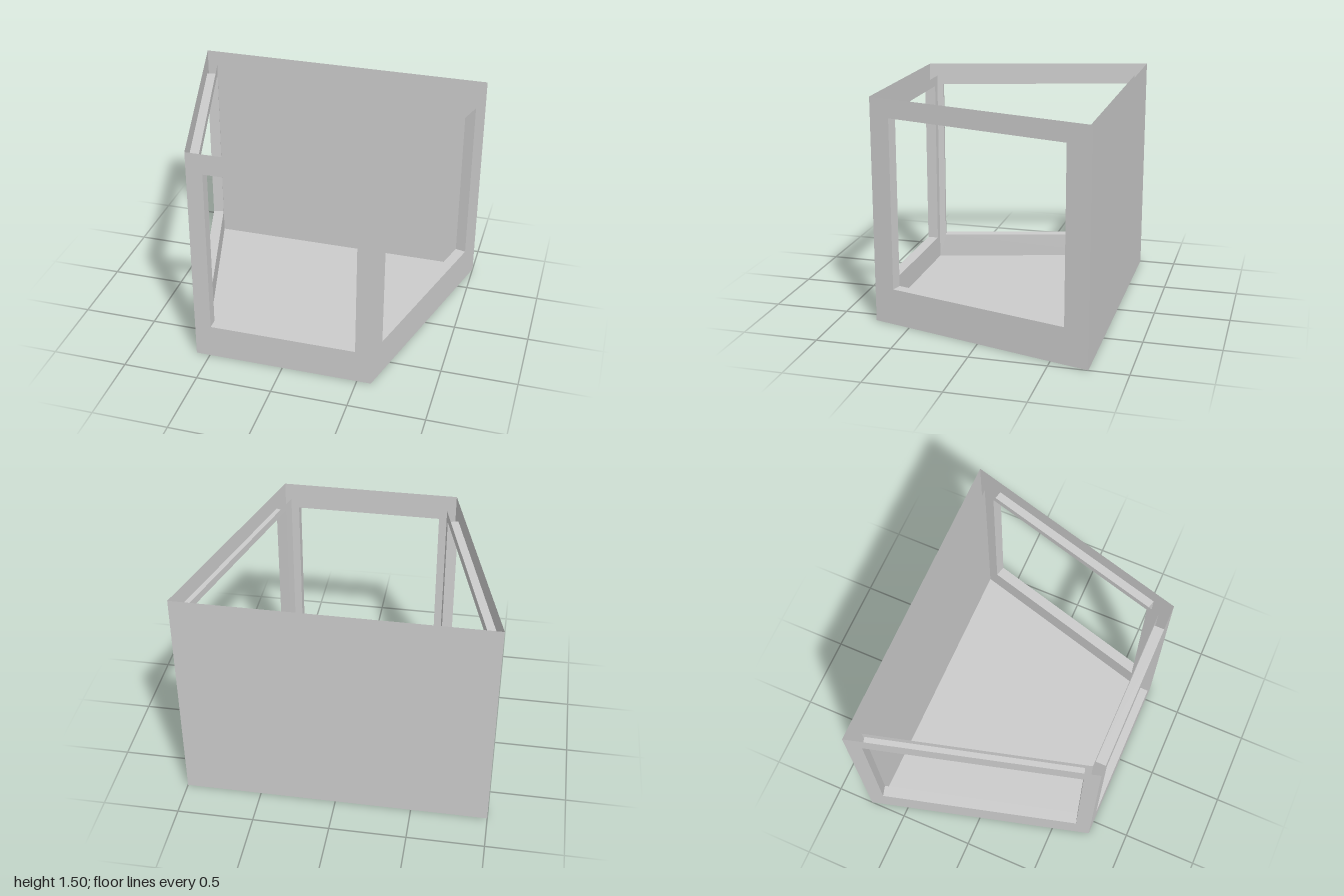
import * as THREE from 'three';

const HEIGHT = 1.5, THICK = 0.073;
const FRONT_X = 0.593, BACK_X = 1, DEPTH = 0.75;

// Thin open shells, visible from both sides
const material = new THREE.MeshStandardMaterial({
  color: 0xcccccc, flatShading: true, side: THREE.DoubleSide,
});

// Setbacks of the inner shell at the back and front corners
const lean = Math.atan2(BACK_X - FRONT_X, 2 * DEPTH);
const backMitre = THICK / Math.tan((Math.PI / 2 - lean) / 2);
const frontMitre = THICK / Math.tan((Math.PI / 2 + lean) / 2);

const points = list => list.map(p => new THREE.Vector2(...p));

function addMesh(group, name, geometry) {
  const mesh = new THREE.Mesh(geometry, material);
  mesh.name = name;
  group.add(mesh);
  return mesh;
}

// Flat rectangular skin with an optional window opening [u0, u1, y0, y1]
function skin(u0, u1, y0, y1, opening) {
  const shape = new THREE.Shape(points([[u0, y0], [u1, y0], [u1, y1], [u0, y1]]));
  if (opening) {
    const [a, b, c, d] = opening;
    shape.holes.push(new THREE.Path(points([[a, c], [a, d], [b, d], [b, c]])));
  }
  return new THREE.ShapeGeometry(shape);
}

// Hollow wall from a to b (left to right seen from outside): an outer skin, a
// lower inner skin, and window reveals joining the two. There is no top rim.
function makeWall(name, a, b, mitreA, mitreB, opening) {
  const wall = new THREE.Group();
  wall.name = name;
  const dx = b[0] - a[0], dz = b[1] - a[1];
  const length = Math.hypot(dx, dz);

  addMesh(wall, 'outerSkin', skin(0, length, 0, HEIGHT, opening));
  const inner = skin(mitreA, length - mitreB, THICK, HEIGHT - THICK, opening);
  addMesh(wall, 'innerSkin', inner.translate(0, 0, -THICK));

  if (opening) {
    const [u0, u1, y0, y1] = opening;
    const midU = (u0 + u1) / 2, midY = (y0 + y1) / 2;
    // Sill faces up and lintel faces down
    for (const [y, turn] of [[y0, -1], [y1, 1]]) {
      const reveal = new THREE.PlaneGeometry(u1 - u0, THICK).rotateX(turn * Math.PI / 2);
      addMesh(wall, turn < 0 ? 'sill' : 'lintel', reveal.translate(midU, y, -THICK / 2));
    }
    // Jambs face each other
    for (const [u, turn] of [[u0, 1], [u1, -1]]) {
      const reveal = new THREE.PlaneGeometry(THICK, y1 - y0).rotateY(turn * Math.PI / 2);
      addMesh(wall, 'jamb', reveal.translate(u, midY, -THICK / 2));
    }
  }

  wall.position.set(a[0], 0, a[1]);
  wall.rotation.y = Math.atan2(-dz, dx);
  return wall;
}

// Horizontal trapezoid panel
function trapezoid(frontX, backX, z) {
  const shape = new THREE.Shape(points([[-frontX, -z], [frontX, -z], [backX, z], [-backX, z]]));
  return new THREE.ShapeGeometry(shape).rotateX(-Math.PI / 2);
}

export function createModel() {
  const model = new THREE.Group();
  model.name = 'openTopWindowedBox';

  const frontRight = [-FRONT_X, DEPTH], frontLeft = [FRONT_X, DEPTH];
  const backLeft = [BACK_X, -DEPTH], backRight = [-BACK_X, -DEPTH];

  // Four walls: three with window openings, a solid one at the back
  model.add(
    makeWall('frontWall', frontRight, frontLeft, frontMitre, frontMitre,
      [FRONT_X - 0.485, FRONT_X + 0.485, 0.23, 1.362]),
    makeWall('leftWall', frontLeft, backLeft, frontMitre, backMitre, [0.141, 1.388, 0.243, 1.377]),
    makeWall('backWall', backLeft, backRight, backMitre, backMitre),
    makeWall('rightWall', backRight, frontRight, backMitre, frontMitre, [0.104, 1.455, 0.235, 1.368]),
  );

  // Underside of the outer shell, facing down, and floor of the inner shell
  addMesh(model, 'underside', trapezoid(BACK_X, FRONT_X, DEPTH).rotateX(Math.PI));
  const floor = trapezoid(FRONT_X - frontMitre, BACK_X - backMitre, DEPTH - THICK);
  addMesh(model, 'floor', floor.translate(0, THICK, 0));

  return model;
}
